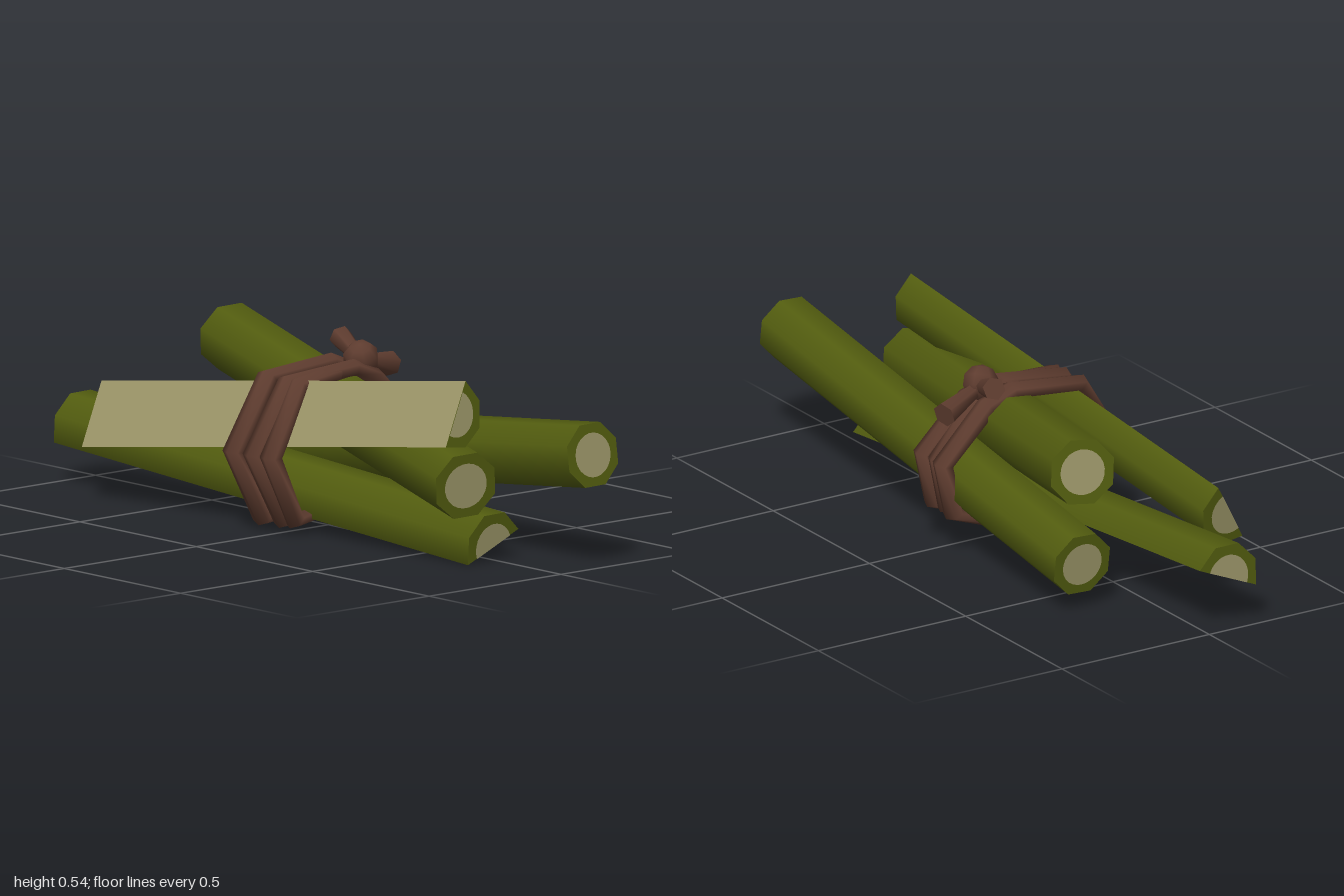
import * as THREE from 'three';
import { mergeVertices } from 'three/addons/utils/BufferGeometryUtils.js';

const mat = (name, color, side = THREE.FrontSide) => {
  const m = new THREE.MeshStandardMaterial({ color, side });
  m.name = name;
  return m;
};
const rad = THREE.MathUtils.degToRad;
const V = (p) => new THREE.Vector3(...p);

export function createModel() {
  const bark = mat('green bark', 0x525c0f);
  const wood = mat('pale wood', 0x9c9669);
  const cord = mat('brown cord', 0x5e3c2f);
  const model = new THREE.Group();
  model.name = 'logBundle';

  const add = (parent, name, geo, material) => {
    const mesh = new THREE.Mesh(geo, material);
    mesh.name = name;
    parent.add(mesh);
    return mesh;
  };

  // Eight-sided log between two end centres; arc 180 makes a split log
  function log(name, front, back, r, startDeg, arcDeg) {
    const a = V(front), b = V(back), len = a.distanceTo(b);
    const g = new THREE.Group();
    g.name = name;
    const start = rad(startDeg), arc = rad(arcDeg), segs = arcDeg / 45;
    const side = new THREE.CylinderGeometry(r, r, len, segs, 1, true, start + Math.PI / 2, arc);
    add(g, 'barkSide', side.rotateX(Math.PI / 2), bark);
    // End caps with a thin pale core on each
    for (const end of [1, -1]) {
      const s = end > 0 ? start : Math.PI - start - arc;
      const cap = (radius, n, lift) => {
        const c = new THREE.CircleGeometry(radius, n, s, arc);
        if (end < 0) c.rotateY(Math.PI);
        return c.translate(0, 0, end * (len / 2 + lift));
      };
      add(g, 'barkEnd', cap(r, segs, 0), bark);
      add(g, 'woodCore', cap(r * 0.66, segs * 3, 0.002), wood);
    }
    // Flat split face
    if (arcDeg < 360) {
      const cut = new THREE.PlaneGeometry(2 * r, len).rotateX(-Math.PI / 2);
      add(g, 'splitFace', cut.rotateZ(start + arc / 2 + Math.PI / 2), wood);
    }
    g.position.copy(a).add(b).multiplyScalar(0.5);
    g.lookAt(a);
    model.add(g);
  }

  log('rightLog', [0.133, 0.33, 0.985], [0.197, 0.143, -0.64], 0.097, 24, 360);
  log('crossingLog', [-0.15, 0.244, 0.76], [0.205, 0.43, -0.655], 0.101, 27, 360);
  log('upperSplitLog', [-0.152, 0.446, 0.72], [-0.235, 0.247, -0.75], 0.102, -120, 180);
  log('lowerSplitLog', [-0.012, 0.044, 0.722], [-0.067, 0.16, -0.995], 0.104, 23, 180);

  // Cord loops: a torus whose rings are moved onto an angular path
  const path = [[0.283, 0.275], [0.14, 0.425], [0.06, 0.458], [-0.16, 0.44],
    [-0.283, 0.24], [-0.178, 0.036], [0.09, 0.073], [0.25, 0.12]];
  function loop(name, scale, zLeft, zRight) {
    const n = path.length, sides = 6;
    const geo = new THREE.TorusGeometry(1, 0.1, sides, n);
    const pos = geo.attributes.position;
    for (let j = 0; j <= sides; j++) for (let i = 0; i <= n; i++) {
      const [px, py] = path[i % n];
      const v = ((j % sides) / sides) * Math.PI * 2;
      const out = new THREE.Vector2(px, py - 0.25).normalize();
      const k = 0.027 * Math.cos(v);
      const z = THREE.MathUtils.lerp(zLeft, zRight, (px + 0.283) / 0.566);
      pos.setXYZ(j * (n + 1) + i, px * scale + out.x * k,
        0.25 + (py - 0.25) * scale + out.y * k, z + 0.038 * Math.sin(v));
    }
    geo.deleteAttribute('uv');
    geo.deleteAttribute('normal');
    const merged = mergeVertices(geo);
    merged.computeVertexNormals();
    add(model, name, merged, cord);
  }
  loop('backCordLoop', 1, -0.085, -0.05);
  loop('middleCordLoop', 0.98, -0.005, 0.058);
  loop('frontCordLoop', 0.96, 0.062, -0.01);

  // Knot with two flaring tails
  const knot = add(model, 'knot', new THREE.SphereGeometry(0.053, 7, 5), cord);
  knot.position.set(0.12, 0.472, 0.005);
  knot.rotation.set(0.3, 0.2, 0.4);
  function tail(name, from, to, r0, r1) {
    const a = V(from), b = V(to), dir = b.clone().sub(a);
    const t = add(model, name, new THREE.CylinderGeometry(r1, r0, dir.length(), 6), cord);
    t.position.copy(a).add(b).multiplyScalar(0.5);
    t.quaternion.setFromUnitVectors(new THREE.Vector3(0, 1, 0), dir.normalize());
  }
  tail('sideTail', [0.13, 0.462, 0], [0.282, 0.427, -0.055], 0.02, 0.037);
  tail('backTail', [0.125, 0.465, 0], [0.165, 0.508, -0.135], 0.018, 0.034);

  return model;
}
